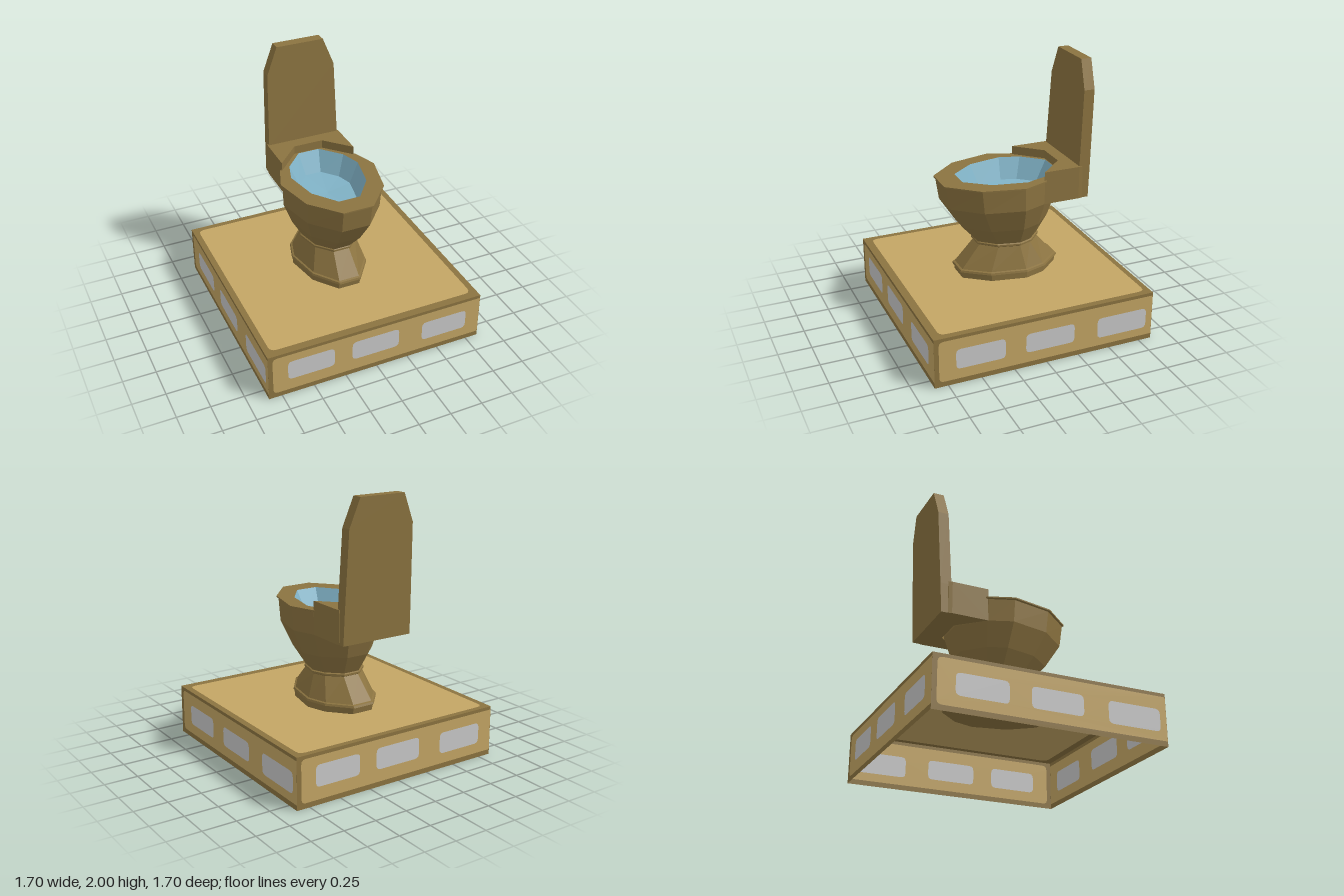
import * as THREE from 'three';

const mat = (name, color, extra = {}) => {
  const m = new THREE.MeshStandardMaterial({ color, flatShading: true, ...extra });
  m.name = name;
  return m;
};

// Ten-sided egg outline: half width, front z, back z
function ring(y, w, front, back) {
  const c = front + (back - front) * 0.585;
  const half = [[0.31, 1], [0.81, 0.59], [1, 0], [0.82, -0.5], [0.31, -1]];
  const all = [...half, ...half.map(([x, t]) => [-x, t]).reverse()];
  return all.map(([x, t]) => new THREE.Vector3(x * w, y, c + t * (t > 0 ? front - c : c - back)));
}

// Joins successive outlines with flat faces
function loft(rows) {
  const pts = [];
  const rings = rows.map((r) => ring(...r));
  for (let k = 0; k < rings.length - 1; k++) {
    const a = rings[k], b = rings[k + 1], n = a.length;
    for (let i = 0; i < n; i++) {
      const j = (i + 1) % n;
      if (rows[k][1] > 0) pts.push(a[i], a[j], b[j]);
      if (rows[k + 1][1] > 0) pts.push(a[i], b[j], b[i]);
      else if (rows[k][1] === 0) continue;
    }
  }
  const g = new THREE.BufferGeometry().setFromPoints(pts);
  g.computeVertexNormals();
  return g;
}

// Rectangle with separately rounded left and right corners
function panel(x0, x1, y0, y1, r = 0, rr = r) {
  const s = new THREE.Shape();
  s.moveTo(x0 + r, y0);
  s.lineTo(x1 - rr, y0);
  if (rr) s.quadraticCurveTo(x1, y0, x1, y0 + rr);
  s.lineTo(x1, y1 - rr);
  if (rr) s.quadraticCurveTo(x1, y1, x1 - rr, y1);
  s.lineTo(x0 + r, y1);
  if (r) s.quadraticCurveTo(x0, y1, x0, y1 - r);
  s.lineTo(x0, y0 + r);
  if (r) s.quadraticCurveTo(x0, y0, x0 + r, y0);
  return s;
}

export function createModel() {
  const model = new THREE.Group();
  const double = { side: THREE.DoubleSide };
  const brown = mat('brown', 0x8b7340);
  const frameBrown = mat('frameBrown', 0x8b7340, double);
  const gold = mat('gold', 0xc3a564, double);
  const grey = mat('grey', 0xc8c8c8, double);
  const blue = mat('blue', 0x80b2c6);

  const add = (parent, name, geometry, material) => {
    const mesh = new THREE.Mesh(geometry, material);
    mesh.name = name;
    parent.add(mesh);
    return mesh;
  };

  // Framed flat face: brown border, gold field, grey windows
  function face(name, outer, field, windows) {
    const group = new THREE.Group();
    group.name = name;
    outer.holes.push(field);
    field.holes.push(...windows);
    const flat = (s) => new THREE.ShapeGeometry(s, 3);
    add(group, name + 'Border', flat(outer), frameBrown);
    add(group, name + 'Field', flat(field), gold);
    windows.forEach((w) => add(group, name + 'Window', flat(w), grey));
    model.add(group);
    return group;
  }

  // Open-bottomed plinth
  const S = 0.85, H = 0.38;
  const frontWindows = [[-0.7, -0.34, 0.13, 0.29], [-0.2, 0.175, 0.13, 0.29], [0.365, 0.735, 0.115, 0.275]];
  const sideWindows = [[-0.69, -0.32, 0.115, 0.27], [-0.165, 0.215, 0.115, 0.265], [0.4, 0.8, 0.1, 0.26]];
  ['plinthFront', 'plinthLeft', 'plinthBack', 'plinthRight'].forEach((name, i) => {
    const windows = (i % 2 ? sideWindows : frontWindows).map((w) => panel(...w, 0.035));
    const wall = face(name, panel(-S, S, 0, H), panel(-0.815, 0.849, 0.038, 0.355, 0.035, 0), windows);
    const a = (i * Math.PI) / 2;
    wall.rotation.y = a;
    wall.position.set(Math.sin(a) * S, 0, Math.cos(a) * S);
  });
  const top = face('plinthTop', panel(-S, S, -S, S), panel(-0.805, 0.802, -0.79, 0.808, 0.05), []);
  top.rotation.x = -Math.PI / 2;
  top.position.y = H;

  const toilet = new THREE.Group();
  toilet.name = 'toilet';
  toilet.position.x = 0.007;
  model.add(toilet);

  // Pedestal, collars, outer bowl and rim
  add(toilet, 'bowlAndPedestal', loft([
    [0.37, 0, -0.09, -0.09],
    [0.37, 0.272, 0.345, -0.41],
    [0.428, 0.272, 0.352, -0.42],
    [0.43, 0.28, 0.365, -0.432],
    [0.445, 0.275, 0.36, -0.425],
    [0.45, 0.262, 0.345, -0.41],
    [0.62, 0.203, 0.2, -0.265],
    [0.628, 0.215, 0.215, -0.28],
    [0.642, 0.215, 0.215, -0.28],
    [0.648, 0.205, 0.21, -0.27],
    [0.79, 0.287, 0.335, -0.345],
    [0.97, 0.357, 0.45, -0.4],
    [1.14, 0.363, 0.475, -0.405],
    [1.145, 0.378, 0.487, -0.412],
    [1.155, 0.378, 0.487, -0.412],
    [1.155, 0.272, 0.335, -0.406],
  ]), brown);

  // Bowl lining and shallow water surface
  add(toilet, 'bowlLining', loft([
    [1.155, 0.272, 0.335, -0.406],
    [1.0, 0.2, 0.25, -0.32],
  ]), blue);
  add(toilet, 'water', loft([
    [1.0, 0.2, 0.25, -0.32],
    [0.985, 0, -0.05, -0.05],
  ]), blue);

  // Rear ledge wrapped around the back of the bowl
  const ledge = new THREE.Shape([
    [-0.295, 0.22], [-0.295, 0.5], [-0.29, 0.53], [0.29, 0.53], [0.295, 0.5], [0.295, 0.22], [0.115, 0.412], [-0.115, 0.412],
  ].map((p) => new THREE.Vector2(...p)));
  const ledgeGeo = new THREE.ExtrudeGeometry(ledge, { depth: 0.25, bevelEnabled: false });
  ledgeGeo.rotateX(-Math.PI / 2).translate(0, 0.97, 0);
  add(toilet, 'rearLedge', ledgeGeo, brown);

  // Raised lid, leaning back
  const half = [[0.288, 0.97], [0.284, 1.2], [0.268, 1.79], [0.185, 2.0]];
  const outline = [...half, ...half.map(([x, y]) => [-x, y]).reverse()];
  const lidGeo = new THREE.ExtrudeGeometry(
    new THREE.Shape(outline.map((p) => new THREE.Vector2(...p))),
    { depth: 1, bevelEnabled: false },
  );
  const p = lidGeo.attributes.position;
  for (let i = 0; i < p.count; i++) {
    const y = p.getY(i);
    p.setZ(i, p.getZ(i) > 0.5 ? -0.505 - (y - 1.2) * 0.05 : -0.58 - (y - 0.97) * 0.044);
  }
  lidGeo.computeVertexNormals();
  add(toilet, 'lid', lidGeo, brown);

  return model;
}
